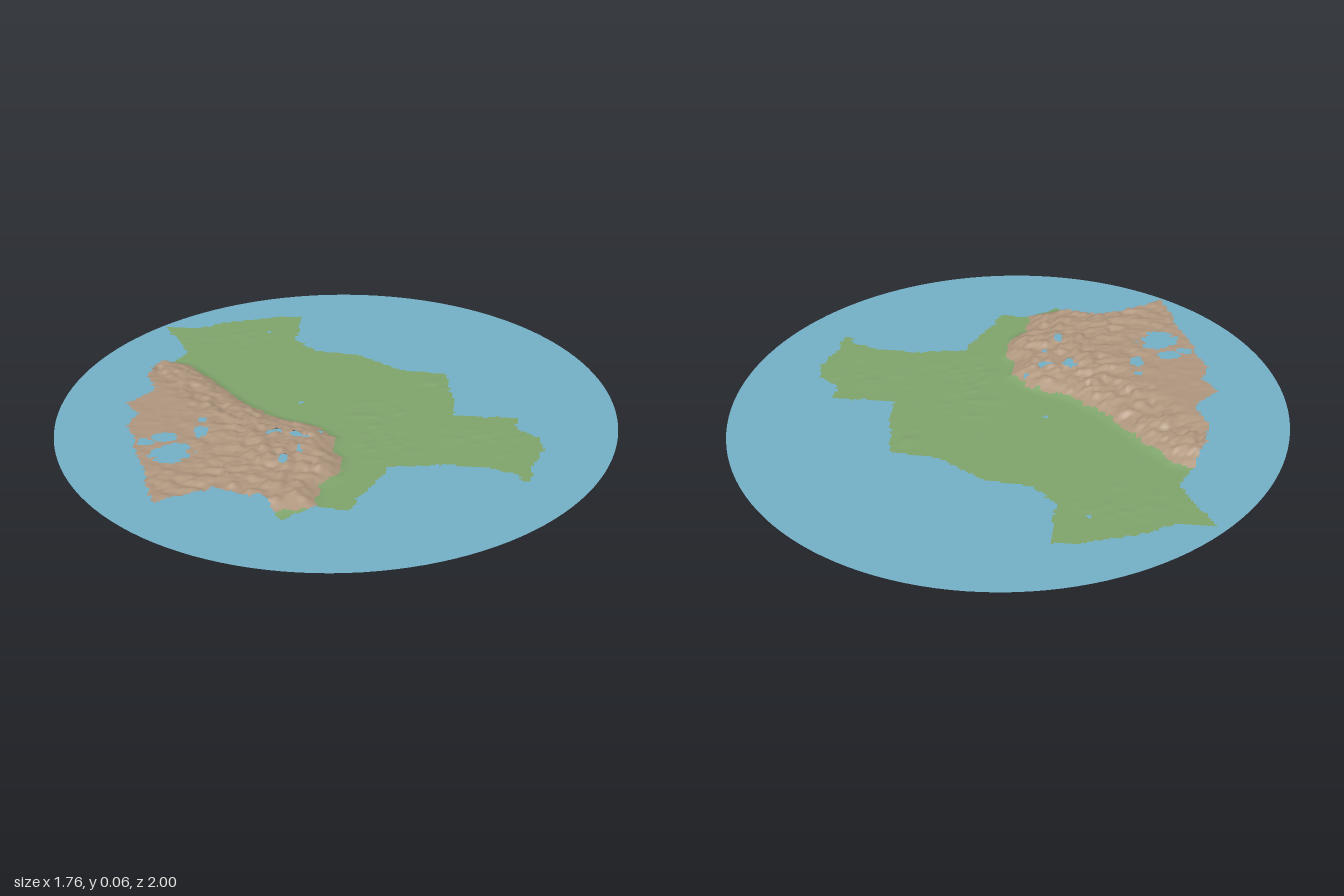
import * as THREE from 'three';

const CELL = 0.0085;

// Land outline, clockwise from the north-west corner (x, z)
const OUTLINE = [
  [-0.67, -0.61], [-0.55, -0.61], [-0.47, -0.67], [-0.38, -0.71], [-0.29, -0.74], [-0.2, -0.755],
  [-0.2, -0.55], [-0.12, -0.46], [0.02, -0.44], [0.08, -0.4], [0.18, -0.33], [0.33, -0.31],
  [0.345, -0.18], [0.365, -0.12], [0.365, 0], [0.565, 0], [0.565, 0.08], [0.635, 0.13],
  [0.65, 0.21], [0.61, 0.34], [0.62, 0.43], [0.585, 0.42], [0.58, 0.385], [0.48, 0.35],
  [0.35, 0.345], [0.195, 0.375], [0.15, 0.51], [0.12, 0.58], [0.1, 0.66], [0, 0.645],
  [-0.085, 0.735], [-0.14, 0.65], [-0.29, 0.635], [-0.38, 0.7], [-0.445, 0.75], [-0.475, 0.66],
  [-0.51, 0.545], [-0.56, 0.42], [-0.58, 0.345], [-0.615, 0.265], [-0.6, 0.18], [-0.655, 0.11],
  [-0.58, 0], [-0.63, -0.11], [-0.62, -0.21], [-0.59, -0.3], [-0.55, -0.4], [-0.57, -0.45],
];

// Line where the highlands meet the lowlands, north to south
const FOOT = [
  [-0.75, -0.31], [-0.59, -0.3], [-0.52, -0.28], [-0.42, -0.16], [-0.31, -0.02], [-0.195, 0.08],
  [-0.05, 0.14], [0.015, 0.21], [0.01, 0.3], [0.05, 0.345], [0.05, 0.46], [0, 0.53],
  [0, 0.645], [-0.07, 0.68], [-0.12, 0.71],
];
const HIGHLAND = [...FOOT, [-0.12, 0.9], [-0.9, 0.9], [-0.9, -0.31]];

// Lakes: x, z, half width, half length
const LAKES = [
  [-0.45, 0.43, 0.06, 0.06], [-0.49, 0.34, 0.04, 0.03], [-0.54, 0.37, 0.025, 0.025],
  [-0.385, 0.28, 0.02, 0.04], [-0.395, 0.2, 0.012, 0.012], [-0.17, 0.25, 0.02, 0.02],
  [-0.09, 0.25, 0.03, 0.014], [-0.115, 0.43, 0.014, 0.03], [-0.08, 0.34, 0.01, 0.02],
  [-0.03, 0.19, 0.01, 0.014], [-0.3, -0.6, 0.007, 0.008], [-0.12, -0.045, 0.007, 0.007],
];

function hash(i, j) {
  let h = Math.imul(i, 374761393) + Math.imul(j, 668265263);
  h = Math.imul(h ^ (h >>> 13), 1274126177);
  return ((h ^ (h >>> 16)) >>> 0) / 4294967296;
}

// Smooth value noise from -1 to 1
function noise(x, z) {
  const i = Math.floor(x), j = Math.floor(z);
  const u = THREE.MathUtils.smoothstep(x - i, 0, 1), v = THREE.MathUtils.smoothstep(z - j, 0, 1);
  const a = THREE.MathUtils.lerp(hash(i, j), hash(i + 1, j), u);
  const b = THREE.MathUtils.lerp(hash(i, j + 1), hash(i + 1, j + 1), u);
  return 2 * THREE.MathUtils.lerp(a, b, v) - 1;
}

function inside(poly, x, z) {
  let hit = false;
  for (let i = 0, j = poly.length - 1; i < poly.length; j = i++) {
    const [ax, az] = poly[i], [bx, bz] = poly[j];
    if ((az > z) !== (bz > z) && x < ((bx - ax) * (z - az)) / (bz - az) + ax) hit = !hit;
  }
  return hit;
}

// Distance to the foot of the highlands, positive on the high side
function footDistance(x, z) {
  let best = Infinity;
  for (let i = 1; i < FOOT.length; i++) {
    const [ax, az] = FOOT[i - 1], dx = FOOT[i][0] - ax, dz = FOOT[i][1] - az;
    const t = THREE.MathUtils.clamp(((x - ax) * dx + (z - az) * dz) / (dx * dx + dz * dz), 0, 1);
    best = Math.min(best, Math.hypot(x - ax - t * dx, z - az - t * dz));
  }
  return inside(HIGHLAND, x, z) ? best : -best;
}

function bump(x, z, cx, cz, rx, rz) {
  return Math.exp(-(((x - cx) / rx) ** 2) - ((z - cz) / rz) ** 2);
}

function height(x, z) {
  const d = footDistance(x, z);
  const rise = 0.6 * THREE.MathUtils.smoothstep(d, -0.03, 0.06) + 0.4 * THREE.MathUtils.smoothstep(d, 0, 0.22);
  // rugged ranges near the foot and along the western rim, calm plateau between
  const ranges = THREE.MathUtils.smoothstep(d, -0.02, 0.05) *
    Math.min(1, bump(x, z, -0.17, 0.33, 0.2, 0.3) + (1 - THREE.MathUtils.smoothstep(d, 0.1, 0.22)) * (z < 0.25 ? 1 : 0.3) +
      0.6 * bump(x, z, -0.42, 0.64, 0.15, 0.1) + 0.15);
  const rough = noise(x * 38, z * 38) * 0.008 + noise(x * 80 + 9, z * 80) * 0.005;
  // low eastern and northern hills
  const hills = bump(x, z, 0.5, 0.18, 0.15, 0.09) + bump(x, z, 0.15, 0.1, 0.12, 0.2) +
    bump(x, z, 0.3, -0.22, 0.06, 0.08) + 0.6 * bump(x, z, -0.4, -0.52, 0.2, 0.12);
  const roll = Math.max(0, noise(x * 30 + z * 12, z * 30)) * 0.004 * hills;
  return Math.max(0.005, 0.007 + 0.044 * rise + rough * ranges + roll);
}

// Open relief sheet made of the grid cells that pass the test
function reliefSheet(test) {
  const positions = [], index = [], ids = new Map();
  const vertex = (i, j) => {
    const key = i * 1000 + j;
    if (!ids.has(key)) {
      ids.set(key, positions.length / 3);
      positions.push(i * CELL, height(i * CELL, j * CELL), j * CELL);
    }
    return ids.get(key);
  };
  for (let i = -82; i < 82; i++) {
    for (let j = -92; j < 92; j++) {
      if (!test((i + 0.5) * CELL, (j + 0.5) * CELL)) continue;
      const a = vertex(i, j), b = vertex(i, j + 1), c = vertex(i + 1, j + 1), d = vertex(i + 1, j);
      index.push(a, b, d, b, c, d);
    }
  }
  const geometry = new THREE.BufferGeometry();
  geometry.setAttribute('position', new THREE.Float32BufferAttribute(positions, 3));
  geometry.setIndex(index);
  geometry.computeVertexNormals();
  return geometry;
}

function isLand(x, z) {
  const wx = x + 0.006 * noise(x * 60, z * 60), wz = z + 0.006 * noise(x * 60 + 40, z * 60);
  if (!inside(OUTLINE, wx, wz)) return false;
  // ragged lake shores
  return !LAKES.some(([cx, cz, rx, rz]) =>
    ((x - cx) / rx) ** 2 + ((z - cz) / rz) ** 2 < 1 + 0.6 * noise(x * 45 + 7, z * 45));
}

const isHigh = (x, z) => footDistance(x, z) + 0.01 * noise(x * 50, z * 50 + 20) > 0;

export function createModel() {
  const material = (name, color) => {
    const m = new THREE.MeshStandardMaterial({ color, side: THREE.DoubleSide });
    m.name = name;
    return m;
  };
  const model = new THREE.Group();
  model.name = 'reliefMap';
  const add = (name, geometry, mat) => {
    const mesh = new THREE.Mesh(geometry, mat);
    mesh.name = name;
    model.add(mesh);
  };

  // Flat oval of water
  const oval = new THREE.CircleGeometry(1, 128).rotateX(-Math.PI / 2).scale(0.88, 1, 1);
  add('waterDisc', oval, material('water blue', 0x74b0c8));

  // Land in two colours
  add('lowlands', reliefSheet((x, z) => isLand(x, z) && !isHigh(x, z)), material('lowland green', 0x80a56c));
  add('highlands', reliefSheet((x, z) => isLand(x, z) && isHigh(x, z)), material('highland brown', 0xb0977f));
  return model;
}
